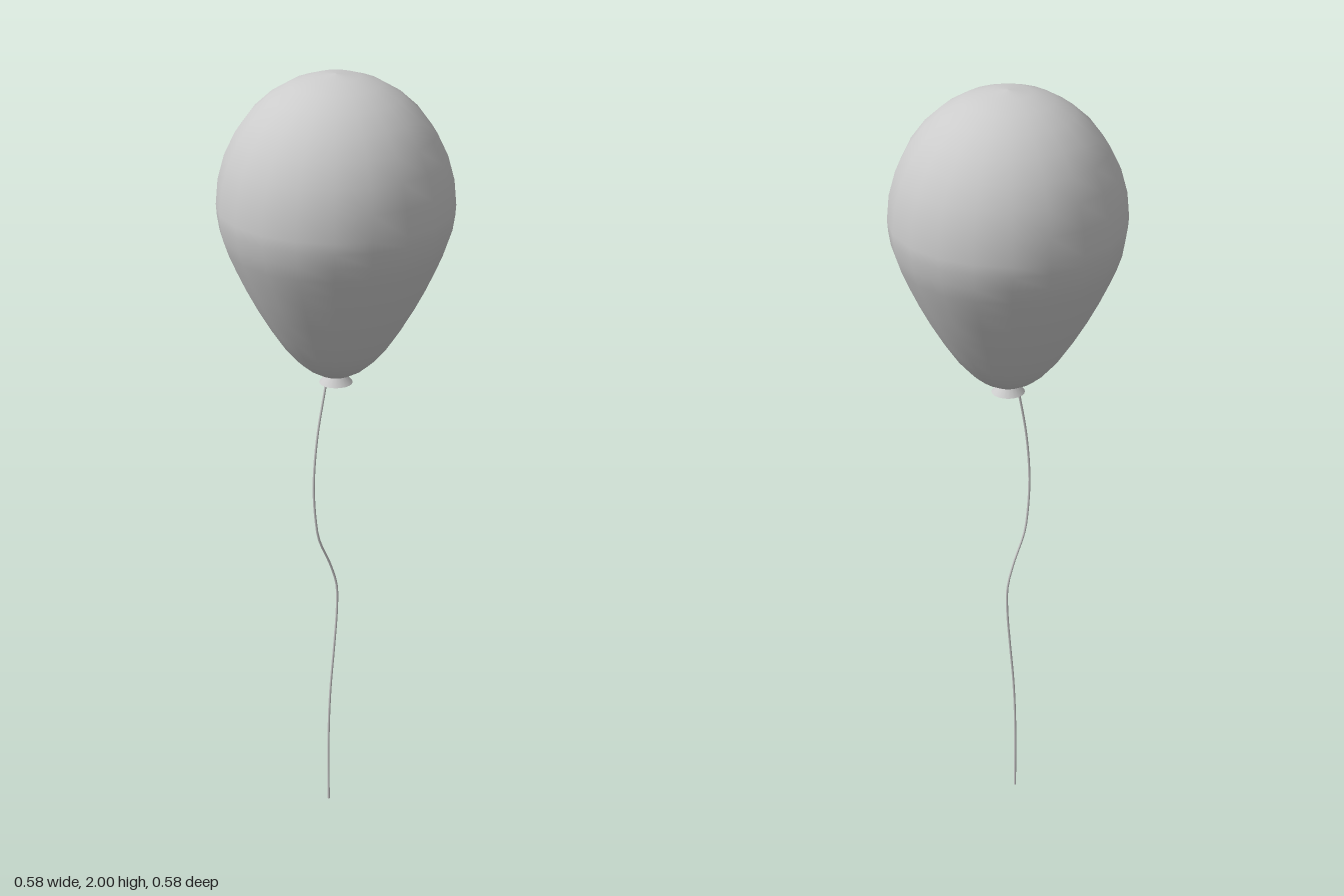
import * as THREE from 'three';

const grey = new THREE.MeshStandardMaterial({ color: 0xcccccc });
const SIDES = 20;

function addPart(group, name, geometry) {
  const mesh = new THREE.Mesh(geometry, grey);
  mesh.name = name;
  group.add(mesh);
}

export function createModel() {
  const group = new THREE.Group();
  group.name = 'balloon';

  // Balloon skin: tapered lower half, elliptical dome above the widest ring
  const radius = 0.291, widestY = 1.675, domeHeight = 0.325;
  const taper = [
    [0.022, 1.228], [0.07, 1.252], [0.128, 1.31], [0.2, 1.425],
    [0.252, 1.53], [0.283, 1.61], [radius, widestY],
  ].map(([x, y]) => new THREE.Vector2(x, y));
  const profile = new THREE.SplineCurve(taper).getPoints(12);
  for (let i = 1; i <= 8; i++) {
    const a = (i / 8) * Math.PI / 2;
    profile.push(new THREE.Vector2(
      i === 8 ? 0 : radius * Math.cos(a), widestY + domeHeight * Math.sin(a)));
  }
  addPart(group, 'balloonSkin', new THREE.LatheGeometry(profile, SIDES));

  // Flared knot, closed underneath
  const knot = new THREE.CylinderGeometry(0.022, 0.042, 0.024, SIDES);
  knot.translate(0, 1.222, 0);
  addPart(group, 'knot', knot);

  // Wavy string hanging from the knot in the x-y plane
  const path = new THREE.CatmullRomCurve3([
    [-0.03, 1.215], [-0.058, 1.07], [-0.069, 0.94], [-0.063, 0.84],
    [-0.053, 0.785], [-0.018, 0.705], [0.002, 0.64], [0.003, 0.57],
    [-0.006, 0.46], [-0.018, 0.335], [-0.024, 0.2], [-0.024, 0],
  ].map(([x, y]) => new THREE.Vector3(x, y, 0)));
  addPart(group, 'string', new THREE.TubeGeometry(path, 48, 0.003, 6));

  return group;
}
